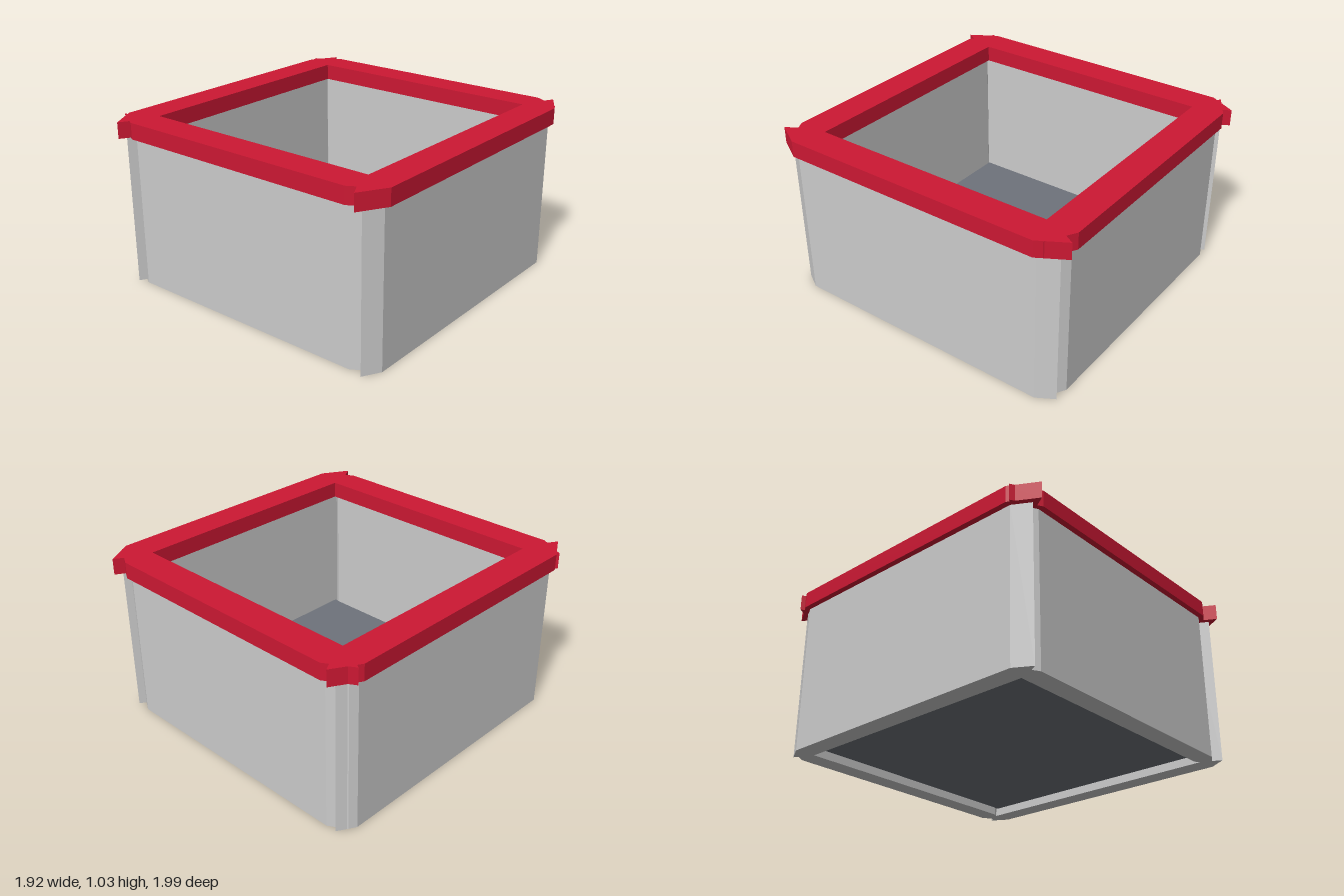
import * as THREE from 'three';

const grey = new THREE.MeshStandardMaterial({ color: 0xcccccc, flatShading: true });
const red = new THREE.MeshStandardMaterial({ color: 0xcc1833, flatShading: true });
const slate = new THREE.MeshStandardMaterial({ color: 0x6e737b, flatShading: true });

// Upright slab along x, from a to b, with 60 degree pointed ends
function slab(name, a, b, half, y, height, material) {
  const tip = half * Math.sqrt(3);
  const shape = new THREE.Shape([
    [a, -half], [b, -half], [b + tip, 0], [b, half], [a, half], [a - tip, 0],
  ].map(([x, z]) => new THREE.Vector2(x, z)));
  const geometry = new THREE.ExtrudeGeometry(shape, { depth: height, bevelEnabled: false });
  geometry.rotateX(-Math.PI / 2);
  const mesh = new THREE.Mesh(geometry, material);
  mesh.name = name;
  mesh.position.y = y;
  return mesh;
}

export function createModel() {
  const model = new THREE.Group();
  model.name = 'planterBox';

  // Each side is a grey wall topped by a wider red rim bar
  const sides = [
    { name: 'front', a: -0.8, b: 0.77, x: 0, z: 0.856, turn: 0 },
    { name: 'back', a: -0.8, b: 0.77, x: 0, z: -0.876, turn: 0 },
    { name: 'left', a: -0.83, b: 0.83, x: 0.862, z: 0, turn: Math.PI / 2 },
    { name: 'right', a: -0.83, b: 0.83, x: -0.866, z: 0, turn: Math.PI / 2 },
  ];
  for (const { name, a, b, x, z, turn } of sides) {
    const side = new THREE.Group();
    side.name = name + 'Side';
    side.add(slab(name + 'Wall', a, b, 0.06, 0, 0.935, grey));
    side.add(slab(name + 'Rim', a, b, 0.095, 0.935, 0.1, red));
    side.position.set(x, 0, z);
    side.rotation.y = turn;
    model.add(side);
  }

  // Floor plate set slightly above the bottom edge
  const floor = new THREE.Mesh(new THREE.BoxGeometry(1.61, 0.05, 1.62), slate);
  floor.name = 'floor';
  floor.position.set(0, 0.075, -0.01);
  model.add(floor);

  return model;
}
